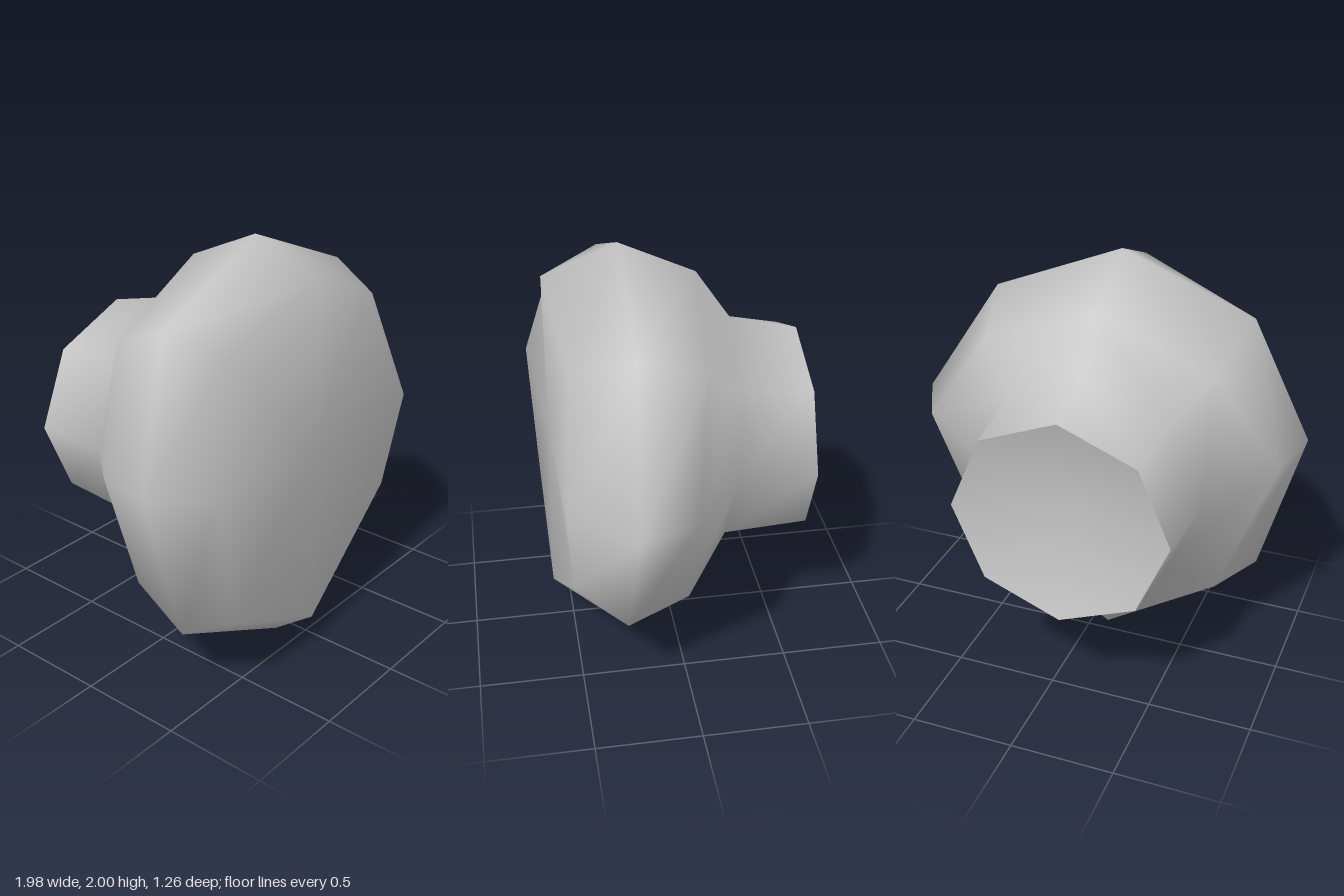
import * as THREE from 'three';

// Cross-sections from front to back, corners clockwise seen from the front:
// top, upper left, left, lower left, bottom, lower right, right, upper right
const frontRim = [
  [-0.08, 1.86, 0.57], [0.44, 1.65, 0.505], [0.7, 1.06, 0.555], [0.58, 0.6, 0.53],
  [-0.08, 0.16, 0.59], [-0.7, 0.45, 0.6], [-0.82, 1.13, 0.63], [-0.6, 1.65, 0.505],
];
const widest = [
  [-0.08, 2, 0.22], [0.56, 1.735, 0.22], [0.985, 1.1, 0.27], [0.72, 0.46, 0.3],
  [-0.08, 0, 0.375], [-0.78, 0.34, 0.38], [-0.99, 1.1, 0.365], [-0.72, 1.735, 0.25],
];
const shoulder = [
  [-0.08, 1.835, -0.14], [0.48, 1.6, -0.1], [0.85, 1.08, 0], [0.6, 0.5, 0],
  [-0.12, 0.08, -0.04], [-0.66, 0.4, 0], [-0.92, 1.08, 0.07], [-0.64, 1.58, -0.1],
];
const neckBase = [
  [-0.09, 1.59, -0.305], [0.29, 1.4, -0.28], [0.44, 1.01, -0.26], [0.29, 0.62, -0.23],
  [-0.09, 0.44, -0.2], [-0.48, 0.62, -0.22], [-0.65, 1.01, -0.23], [-0.48, 1.4, -0.27],
];
const neckRim = Array.from({ length: 8 }, (_, i) => {
  const a = (i * Math.PI) / 4;
  return [-0.095 + 0.525 * Math.sin(a), 0.995 + 0.51 * Math.cos(a), -0.635];
});

function smoothGeometry(points, index) {
  const geometry = new THREE.BufferGeometry();
  geometry.setAttribute('position', new THREE.Float32BufferAttribute(points.flat(), 3));
  geometry.setIndex(index);
  geometry.computeVertexNormals();
  return geometry;
}

// Skin between the rings, closed in front by a fan
function bodyGeometry(rings, frontCentre) {
  const n = rings[0].length;
  const points = [...rings.flat(), frontCentre];
  const centre = points.length - 1;
  const index = [];
  for (let i = 0; i < n; i++) {
    const j = (i + 1) % n;
    index.push(centre, j, i);
    for (let r = 0; r < rings.length - 1; r++) {
      const a = r * n + i, b = r * n + j;
      index.push(a, b, a + n, b, b + n, a + n);
    }
  }
  return smoothGeometry(points, index);
}

// Shallow hollow at the end of the neck
function hollowGeometry(ring, apex) {
  const n = ring.length;
  const index = [];
  for (let i = 0; i < n; i++) index.push(n, i, (i + 1) % n);
  return smoothGeometry([...ring, apex], index);
}

export function createModel() {
  const group = new THREE.Group();
  const grey = new THREE.MeshStandardMaterial({ color: 0xc4c4c4, side: THREE.DoubleSide });
  grey.name = 'plain grey';

  const body = new THREE.Mesh(
    bodyGeometry([frontRim, widest, shoulder, neckBase, neckRim], [-0.08, 1.05, 0.57]), grey);
  body.name = 'bulbAndNeck';

  const hollow = new THREE.Mesh(hollowGeometry(neckRim, [-0.095, 0.995, -0.48]), grey);
  hollow.name = 'neckHollow';

  group.add(body, hollow);
  return group;
}
